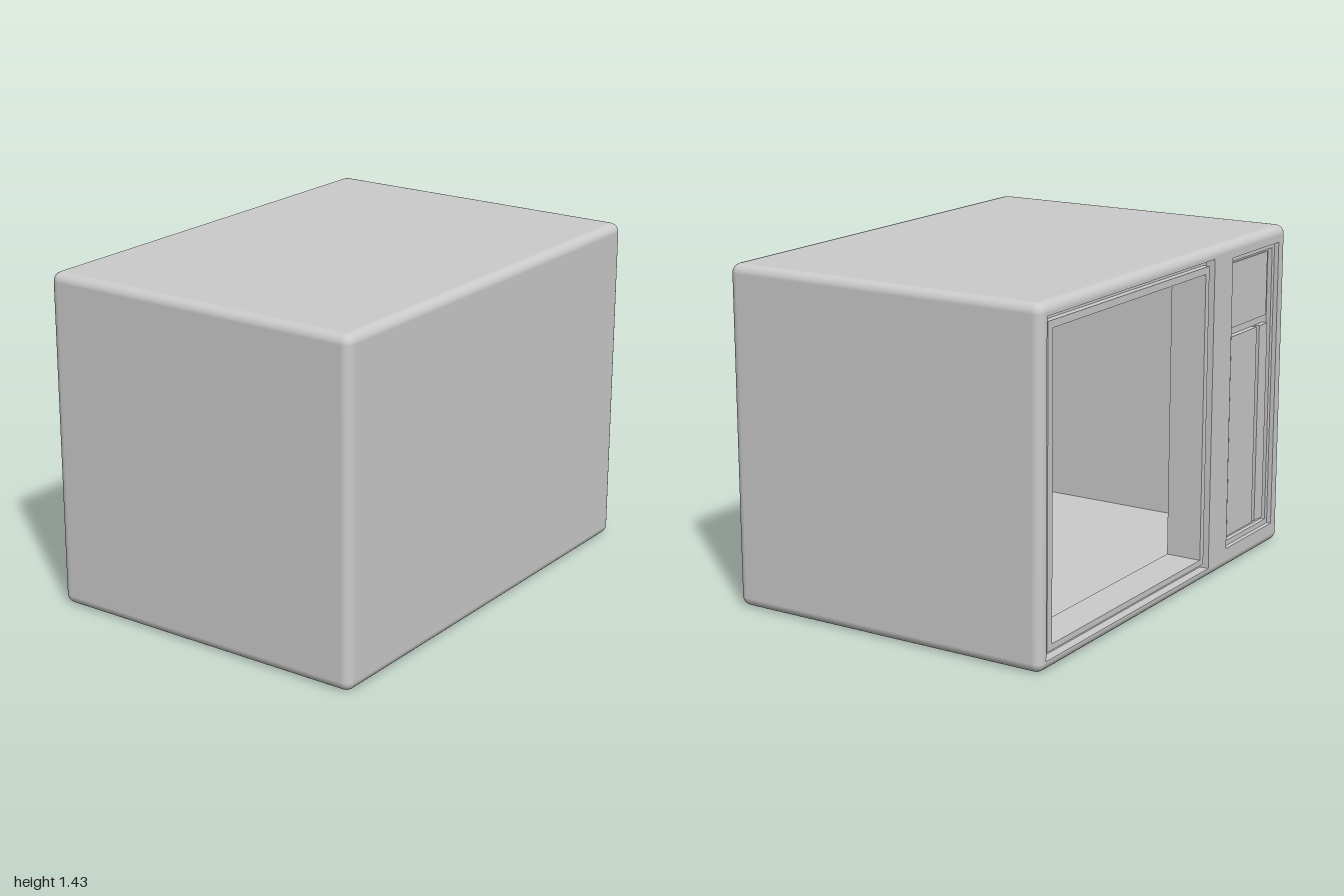
import * as THREE from 'three';
import { RoundedBoxGeometry } from 'three/addons/geometries/RoundedBoxGeometry.js';

const W = 2, H = 1.43, D = 1.46, R = 0.04;
const BACK = -D / 2;        // plane of the open face
const FLOOR = BACK + 0.04;  // bottom of the shallow recesses
const LIP = BACK + 0.17;    // inner end of the opening's lip

const grey = new THREE.MeshStandardMaterial({ color: 0xcccccc });
const inward = new THREE.MeshStandardMaterial({ color: 0xcccccc, side: THREE.BackSide });

// A rectangle given as [x0, y0, x1, y1]
const inset = ([x0, y0, x1, y1], d) => [x0 + d, y0 + d, x1 - d, y1 - d];

function rectPath([x0, y0, x1, y1], Type) {
  return new Type([[x0, y0], [x1, y0], [x1, y1], [x0, y1]].map(p => new THREE.Vector2(...p)));
}

// Flat slab from z0 to z1 with rectangular holes
function slab(name, rect, holes, z0, z1) {
  const shape = rectPath(rect, THREE.Shape);
  shape.holes = holes.map(h => rectPath(h, THREE.Path));
  const geo = new THREE.ExtrudeGeometry(shape, { depth: z1 - z0, bevelEnabled: false });
  geo.translate(0, 0, z0);
  const mesh = new THREE.Mesh(geo, grey);
  mesh.name = name;
  return mesh;
}

// Copy of a geometry without its triangles lying in the plane z
function withoutPlane(source, z) {
  const geo = source.index ? source.toNonIndexed() : source;
  const pos = geo.attributes.position, nor = geo.attributes.normal;
  const p = [], n = [];
  for (let i = 0; i < pos.count; i += 3) {
    if ([0, 1, 2].every(k => Math.abs(pos.getZ(i + k) - z) < 1e-4)) continue;
    for (let k = 0; k < 3; k++) {
      p.push(pos.getX(i + k), pos.getY(i + k), pos.getZ(i + k));
      n.push(nor.getX(i + k), nor.getY(i + k), nor.getZ(i + k));
    }
  }
  const out = new THREE.BufferGeometry();
  out.setAttribute('position', new THREE.Float32BufferAttribute(p, 3));
  out.setAttribute('normal', new THREE.Float32BufferAttribute(n, 3));
  return out;
}

export function createModel() {
  const group = new THREE.Group();
  group.name = 'ovenHousing';

  // Outer shell with softened edges, open at the back
  const shell = new THREE.Mesh(
    withoutPlane(new RoundedBoxGeometry(W, H, D, 3, R), BACK), grey);
  shell.name = 'outerShell';
  shell.position.y = H / 2;
  group.add(shell);

  // Inner lining of the cavity
  const t = 0.035, zEnd = D / 2 - t;
  const liningGeo = new THREE.BoxGeometry(W - 2 * t, H - 2 * t, zEnd - LIP);
  const lining = new THREE.Mesh(withoutPlane(liningGeo, -(zEnd - LIP) / 2), inward);
  lining.name = 'cavityLining';
  lining.position.set(0, H / 2, (zEnd + LIP) / 2);
  group.add(lining);

  // Fascia with the door recess and the control recess
  const door = [-0.34, 0.045, 0.955, 1.38];
  const opening = [-0.285, 0.095, 0.895, 1.325];
  const control = [-0.925, 0.09, -0.5, 1.36];
  const face = [-W / 2 + R, R, W / 2 - R, H - R];
  const wall = [-W / 2 + t, t, W / 2 - t, H - t];
  group.add(slab('fascia', face, [door, control], BACK, FLOOR));
  group.add(slab('fasciaWall', wall, [opening], FLOOR, LIP));

  // Raised rim around the cavity opening
  group.add(slab('doorRim', inset(door, 0.025), [opening], BACK + 0.012, FLOOR));

  // Control recess: stepped border, keypad and side strip
  group.add(slab('controlBorder', control, [inset(control, 0.022)], BACK + 0.02, FLOOR));
  group.add(slab('keypad', [-0.765, 0.135, -0.53, 1.015], [], BACK + 0.015, FLOOR));
  group.add(slab('sideStrip', [-0.865, 0.135, -0.79, 1.015], [], BACK + 0.015, FLOOR));
  group.add(slab('displayWindow', [-0.885, 1.045, -0.535, 1.325], [], BACK + 0.033, FLOOR));

  return group;
}
